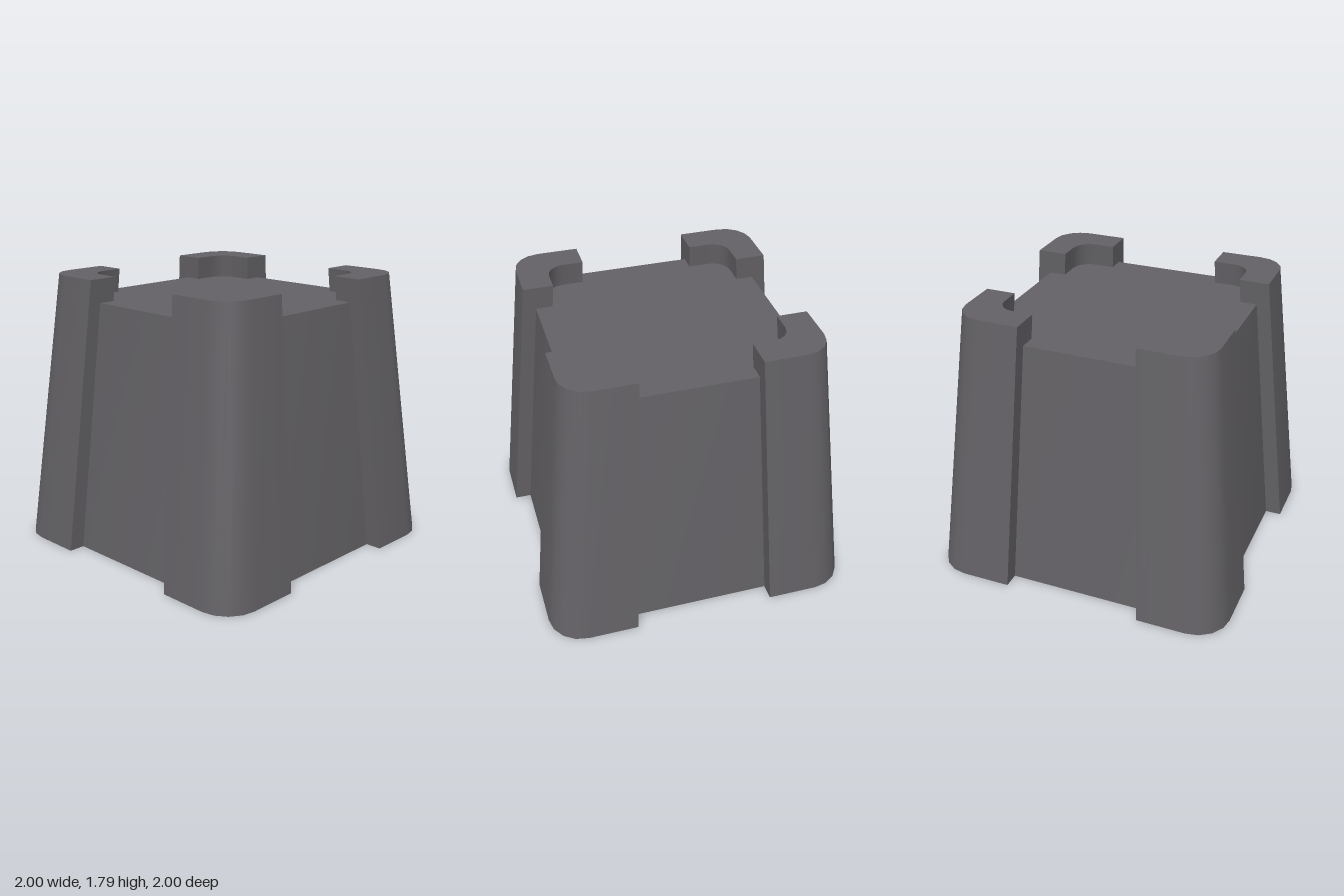
import * as THREE from 'three';
import { toCreasedNormals } from 'three/addons/utils/BufferGeometryUtils.js';

const V = (x, y) => new THREE.Vector2(x, y);

// Points along an arc in plan
function arc(cx, cy, r, from, to, steps = 4) {
  return Array.from({ length: steps + 1 }, (_, i) => {
    const a = from + (to - from) * i / steps;
    return V(cx + r * Math.cos(a), cy + r * Math.sin(a));
  });
}

// Tapered prism from a counter-clockwise plan, scaled by taper at the top
function taperedPrism(plan, height, taper, closedBottom) {
  const pos = [];
  const put = (p, top) => {
    const s = top ? taper : 1;
    pos.push(p.x * s, top ? height : 0, -p.y * s);
  };
  plan.forEach((a, i) => {
    const b = plan[(i + 1) % plan.length];
    put(a, false); put(b, false); put(b, true);
    put(a, false); put(b, true); put(a, true);
  });
  for (const [i, j, k] of THREE.ShapeUtils.triangulateShape(plan, [])) {
    put(plan[i], true); put(plan[j], true); put(plan[k], true);
    if (closedBottom) {
      put(plan[k], false); put(plan[j], false); put(plan[i], false);
    }
  }
  const g = new THREE.BufferGeometry();
  g.setAttribute('position', new THREE.Float32BufferAttribute(pos, 3));
  return toCreasedNormals(g, 0.6);
}

export function createModel() {
  const group = new THREE.Group();
  const grey = new THREE.MeshStandardMaterial({ color: 0x636165, side: THREE.DoubleSide });
  grey.name = 'dark grey';
  const q = Math.PI / 2;

  // Core block with rounded corners
  const half = 0.895, cr = 0.2, c = half - cr;
  const corePlan = [
    ...arc(c, c, cr, 0, q), ...arc(-c, c, cr, q, 2 * q),
    ...arc(-c, -c, cr, 2 * q, 3 * q), ...arc(c, -c, cr, 3 * q, 4 * q),
  ];
  const core = new THREE.Mesh(taperedPrism(corePlan, 1.64, 0.828, true), grey);
  core.name = 'core';
  group.add(core);

  // Corner brackets, open underneath and standing above the core
  const end = 0.455, inner = 0.76, r = 0.22, ri = 0.14;
  const bracketPlan = [
    V(1, end), ...arc(1 - r, 1 - r, r, 0, q), V(end, 1), V(end, inner),
    ...arc(inner - ri, inner - ri, ri, q, 0), V(inner, end),
  ];
  const bracketGeometry = taperedPrism(bracketPlan, 1.795, 0.815, false);
  for (let i = 0; i < 4; i++) {
    const bracket = new THREE.Mesh(bracketGeometry, grey);
    bracket.name = 'cornerBracket' + (i + 1);
    bracket.rotation.y = i * q;
    group.add(bracket);
  }
  return group;
}
